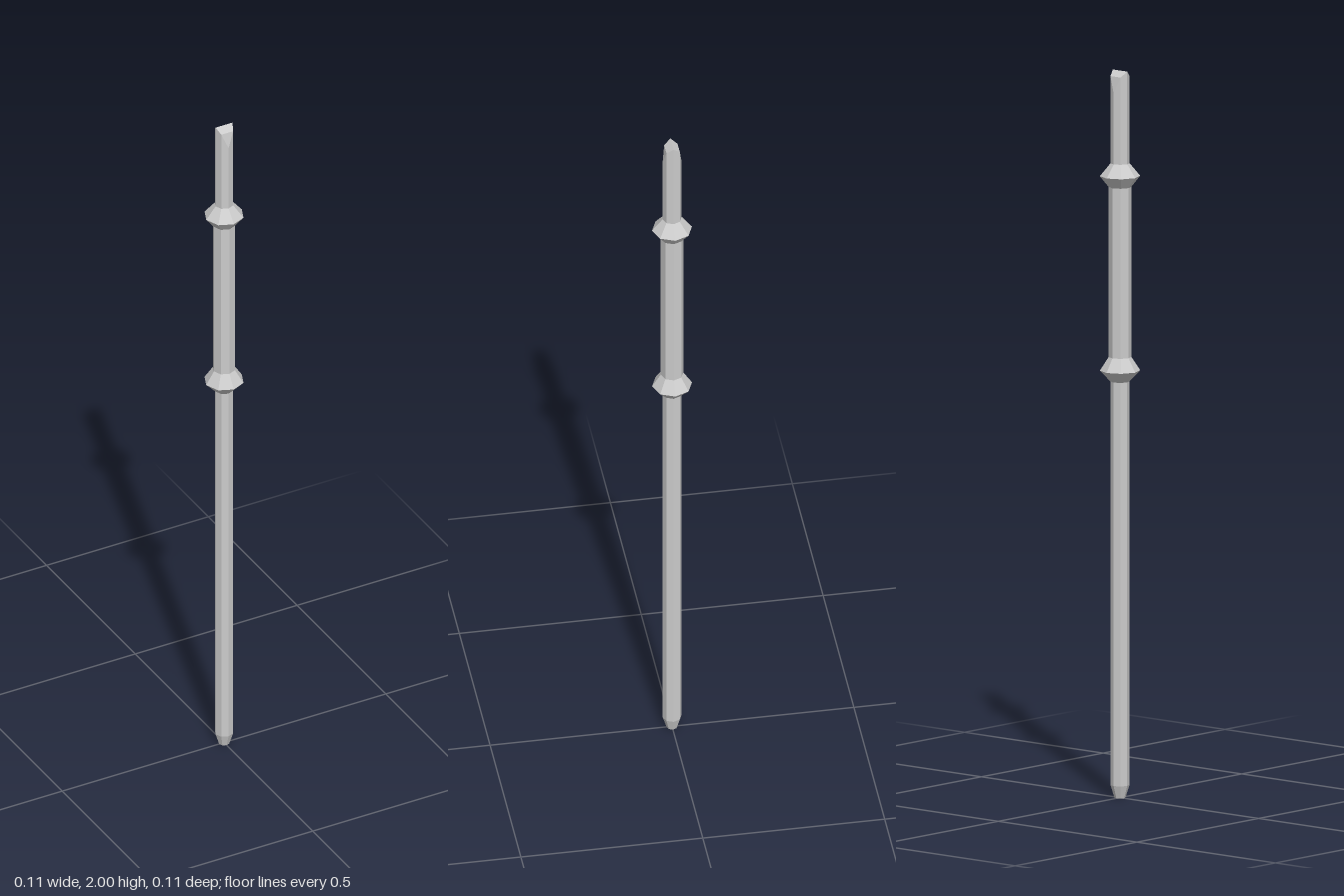
import * as THREE from 'three';

export function createModel() {
  const model = new THREE.Group();
  const material = new THREE.MeshStandardMaterial({ color: 0xcccccc, flatShading: true });

  // Eight-sided turned part from [radius, height] pairs, bottom to top
  const turned = (name, profile) => {
    const points = profile.map(([r, y]) => new THREE.Vector2(r, y));
    const mesh = new THREE.Mesh(new THREE.LatheGeometry(points, 8), material);
    mesh.name = name;
    model.add(mesh);
    return mesh;
  };

  const R = 0.026;
  turned('lowerShaft', [[0, 0], [0.015, 0], [R, 0.035], [R, 1.145]]);
  turned('lowerCollar', [[R, 1.145], [0.055, 1.175], [0.031, 1.212]]);
  turned('grip', [[0.031, 1.212], [0.031, 1.68]]);
  turned('upperCollar', [[0.031, 1.68], [0.055, 1.71], [R, 1.745]]);

  // Upper shaft: the top ring drops towards the front and back
  const upper = turned('upperShaft', [[R, 1.745], [R, 2]]);
  const c = R * Math.SQRT1_2;
  const ridgeY = 2, shoulderY = 1.985, notchY = 1.94;
  const pos = upper.geometry.attributes.position;
  for (let i = 0; i < pos.count; i++) {
    if (pos.getY(i) < 1.9) continue;
    const z = Math.abs(pos.getZ(i));
    pos.setY(i, z < 0.01 ? ridgeY : z < 0.022 ? shoulderY : notchY);
  }
  upper.geometry.computeVertexNormals();

  // Wedge tip: one sloping roof face and one steep facet on each side
  const tip = new THREE.Group();
  tip.name = 'wedgeTip';
  const half = new THREE.BufferGeometry();
  half.setAttribute('position', new THREE.Float32BufferAttribute([
    -c, shoulderY, c, c, shoulderY, c, R, ridgeY, 0, -R, ridgeY, 0, 0, notchY, R,
  ], 3));
  half.setIndex([0, 1, 2, 0, 2, 3, 4, 1, 0]);
  const tipGeometry = half.toNonIndexed();
  tipGeometry.computeVertexNormals();
  for (const [name, angle] of [['frontBevel', 0], ['backBevel', Math.PI]]) {
    const bevel = new THREE.Mesh(tipGeometry, material);
    bevel.name = name;
    bevel.rotation.y = angle;
    tip.add(bevel);
  }
  model.add(tip);
  return model;
}
